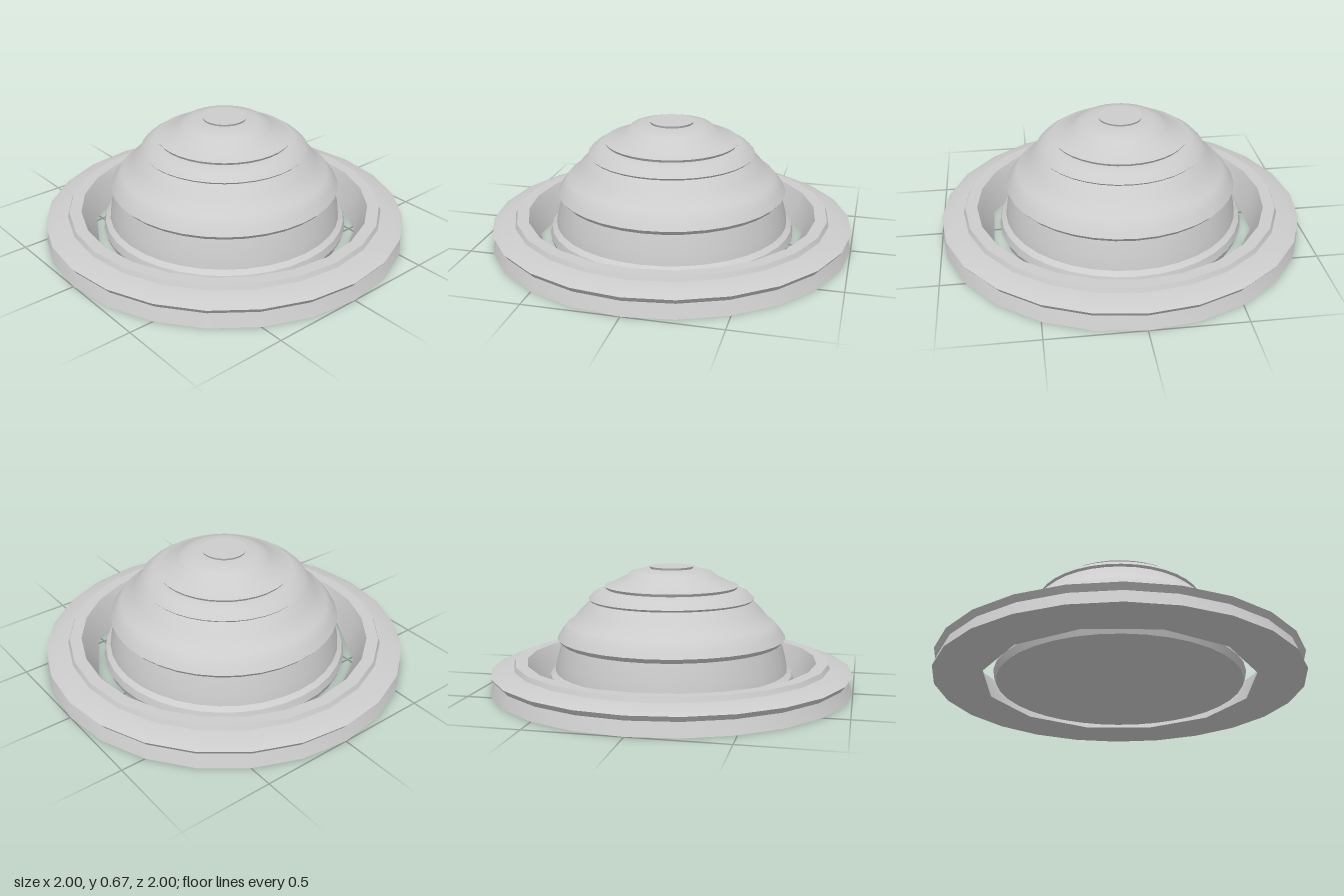
import * as THREE from 'three';
import { toCreasedNormals } from 'three/addons/utils/BufferGeometryUtils.js';

const material = new THREE.MeshStandardMaterial({ color: 0xcccccc });

// Revolve [radius, height] pairs, listed so that the outside lies on the right
function lathe(profile, segments) {
  return new THREE.LatheGeometry(profile.map(([r, y]) => new THREE.Vector2(r, y)), segments);
}

function addPart(group, name, geometry, crease) {
  const mesh = new THREE.Mesh(toCreasedNormals(geometry, crease), material);
  mesh.name = name;
  group.add(mesh);
}

export function createModel() {
  const group = new THREE.Group();
  group.name = 'steppedDomeWithRing';

  // Stepped dome: foot bead, waist, bulging shoulders
  addPart(group, 'dome', lathe([
    [0, 0], [0.665, 0], [0.68, 0.04], [0.67, 0.08], [0.643, 0.1],
    [0.635, 0.155], [0.608, 0.255], [0.63, 0.28], [0.605, 0.32], [0.57, 0.362],
    [0.55, 0.37], [0.5, 0.43], [0.447, 0.482], [0.457, 0.493],
    [0.425, 0.525], [0.385, 0.545], [0.35, 0.548], [0, 0.548],
  ], 36), 0.6);

  // Cap with a slightly overhanging rim
  addPart(group, 'cap', lathe([
    [0, 0.54], [0.355, 0.54], [0.37, 0.562], [0.345, 0.568], [0.25, 0.615],
    [0.225, 0.637], [0.18, 0.648], [0.125, 0.655], [0, 0.655],
  ], 36), 0.6);

  // Small button on the summit
  addPart(group, 'topButton', lathe([
    [0, 0.64], [0.11, 0.64], [0.122, 0.667], [0, 0.667],
  ], 36), 0.6);

  // Faceted outer ring, its bottom inner edge pulled into a twelve-sided opening
  const ring = lathe([
    [0.74, 0], [1, 0], [0.975, 0.07], [0.998, 0.1], [0.96, 0.117],
    [0.875, 0.13], [0.865, 0.155], [0.8, 0.155], [0.78, 0.115], [0.74, 0],
  ], 24);
  const pos = ring.attributes.position;
  for (let i = 0; i < pos.count; i++) {
    const x = pos.getX(i), z = pos.getZ(i);
    const step = Math.round(Math.atan2(x, z) / (Math.PI / 12));
    if (Math.hypot(x, z) < 0.75 && step % 2 === 0) {
      const k = Math.cos(Math.PI / 12);
      pos.setXYZ(i, x * k, pos.getY(i), z * k);
    }
  }
  addPart(group, 'outerRing', ring, 0.6);

  return group;
}
